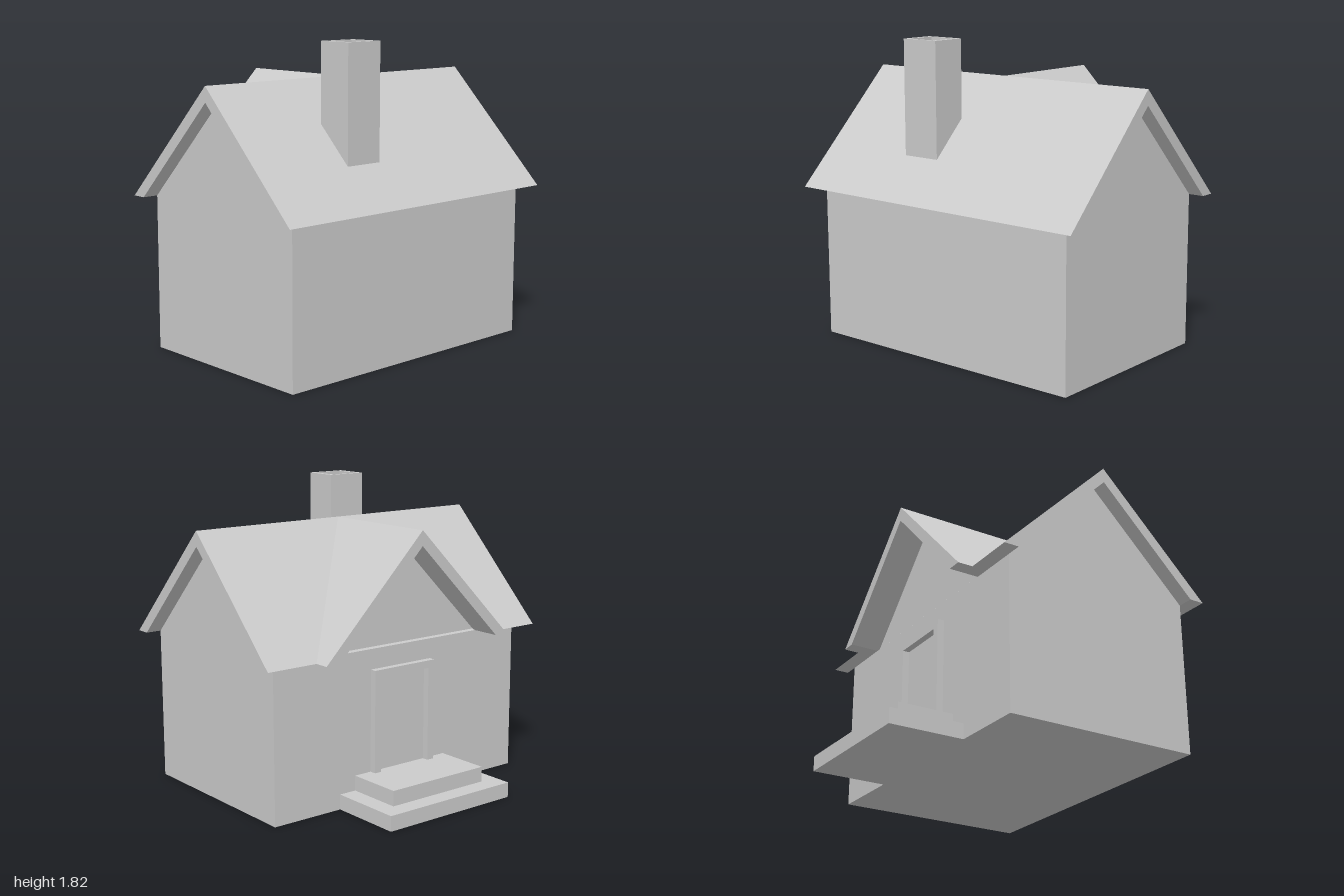
import * as THREE from 'three';

const material = new THREE.MeshStandardMaterial({ color: 0xcccccc, flatShading: true });

const RIDGE_Z = 0.18, RIDGE = 1.59, EAVE = 0.91, RUN = 0.68;
const GABLE_TOP = 1.5, GABLE_RUN = 0.59;

export function createModel() {
  const house = new THREE.Group();
  house.name = 'house';

  const add = (name, geometry) => {
    const mesh = new THREE.Mesh(geometry, material);
    mesh.name = name;
    house.add(mesh);
    return mesh;
  };

  // Box given by its minimum and maximum on each axis
  const box = (name, x0, x1, y0, y1, z0, z1) =>
    add(name, new THREE.BoxGeometry(x1 - x0, y1 - y0, z1 - z0)
      .translate((x0 + x1) / 2, (y0 + y1) / 2, (z0 + z1) / 2));

  const extrude = (points, depth) => new THREE.ExtrudeGeometry(
    new THREE.Shape(points.map(([x, y]) => new THREE.Vector2(x, y))),
    { depth, bevelEnabled: false });

  // Main walls with gable ends, and the cross gable wall over the door
  add('walls', extrude([
    [-0.59, 0], [0.59, 0], [0.59, EAVE], [0, GABLE_TOP], [-0.59, EAVE],
  ], 1.81).translate(0, 0, -0.905).rotateY(Math.PI / 2).translate(0, 0, RIDGE_Z));
  add('crossGableWall', extrude([
    [-GABLE_RUN, EAVE], [GABLE_RUN, EAVE], [0, GABLE_TOP],
  ], RIDGE_Z + 0.4).translate(0, 0, -0.4));

  // Roof slope falling towards side * x; its near end is square or mitred along the valley
  const slope = (name, side, length, mitred, turn) => {
    const g = extrude([
      [0, RIDGE], [side * RUN, EAVE], [side * GABLE_RUN, EAVE], [0, GABLE_TOP],
    ], 1);
    const p = g.attributes.position;
    for (let i = 0; i < p.count; i++) {
      const near = mitred ? Math.abs(p.getX(i)) : -length;
      p.setZ(i, p.getZ(i) > 0.5 ? length : near);
    }
    g.computeVertexNormals();
    add(name, g.rotateY(turn).translate(0, 0, RIDGE_Z));
  };
  slope('frontRoof', -1, 1, false, Math.PI / 2);
  for (const side of [1, -1]) {
    slope('backRoof', side, 1, true, side * Math.PI / 2);
    slope('crossGableRoof', side, 0.77, true, Math.PI);
  }

  // Chimney: solid shaft with a hollow rim on top
  const [cx0, cx1, cz0, cz1, shaftTop] = [-0.375, -0.13, 0.415, 0.63, 1.75];
  box('chimneyShaft', cx0, cx1, 1.1, shaftTop, cz0, cz1);
  const rect = (Type, x0, x1, y0, y1) => new Type([
    [x0, y0], [x1, y0], [x1, y1], [x0, y1],
  ].map(([x, y]) => new THREE.Vector2(x, y)));
  const rim = rect(THREE.Shape, cx0, cx1, -cz1, -cz0);
  rim.holes.push(rect(THREE.Path, cx0 + 0.03, cx1 - 0.03, -cz1 + 0.017, -cz0 - 0.017));
  add('chimneyRim', new THREE.ExtrudeGeometry(rim, { depth: 1.815 - shaftTop, bevelEnabled: false })
    .rotateX(-Math.PI / 2).translate(0, shaftTop, 0));

  // Entrance steps
  box('lowerStep', -0.45, 0.45, 0, 0.09, -0.86, -0.4);
  box('upperStep', -0.34, 0.34, 0.09, 0.18, -0.75, -0.4);

  // Door frame: two posts and a lintel in one outline
  const w = 0.225, b = 0.045, top = 0.79;
  add('doorFrame', extrude([
    [-w, 0.18], [-w + b, 0.18], [-w + b, top - b], [w - b, top - b],
    [w - b, 0.18], [w, 0.18], [w, top], [-w, top],
  ], 0.05).translate(0, 0, -0.45));

  return house;
}
